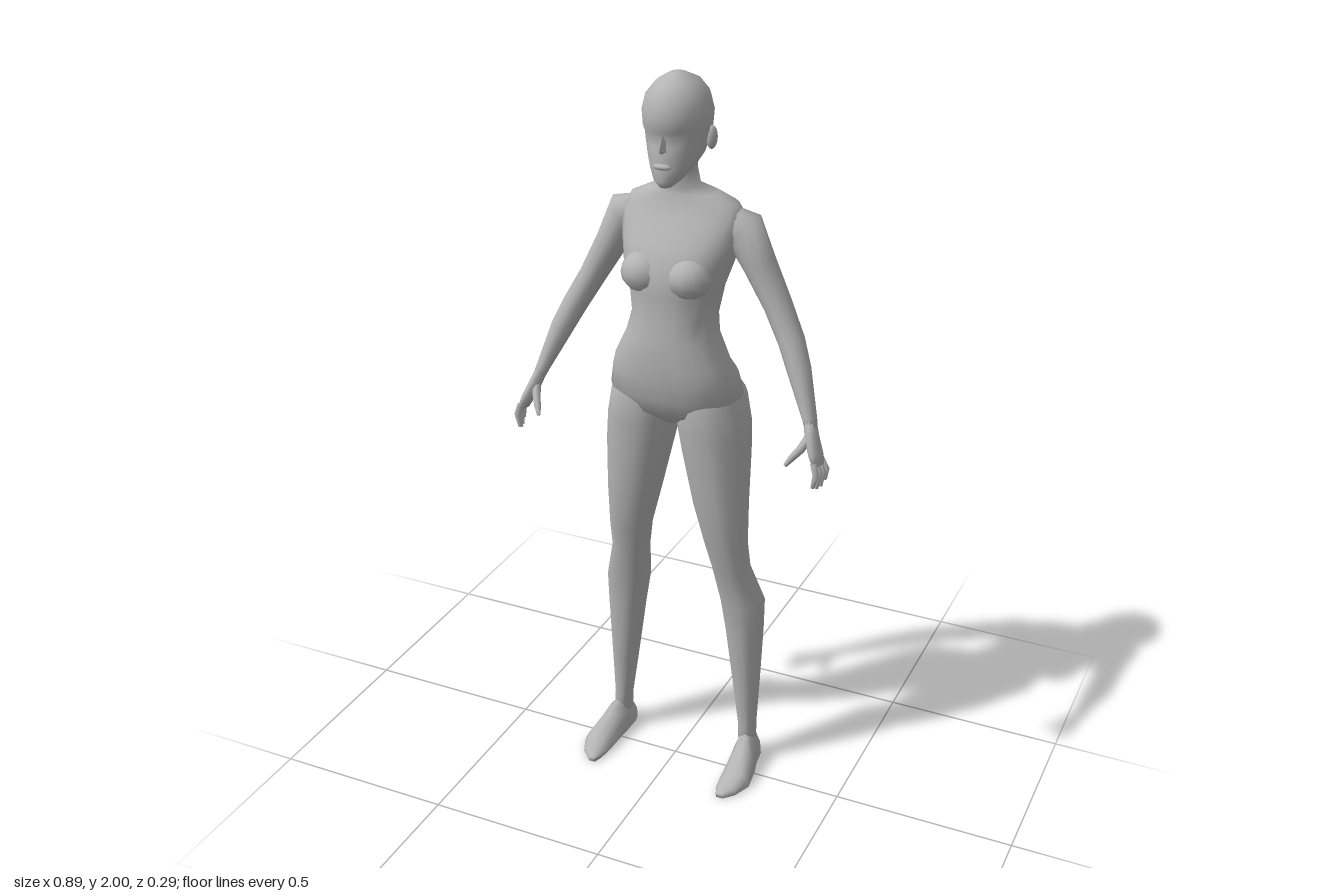
import * as THREE from 'three';
import { ConvexGeometry } from 'three/addons/geometries/ConvexGeometry.js';

const V = (x, y, z) => new THREE.Vector3(x, y, z);
const signedPow = (v, p) => Math.sign(v) * Math.abs(v) ** p;

// Smooth skin over rings of equal length, closed at both ends and wound outward
function loft(rings) {
  const n = rings[0].length;
  const pts = rings.flat();
  const idx = [];
  for (let r = 0; r < rings.length - 1; r++) {
    for (let i = 0; i < n; i++) {
      const a = r * n + i, b = r * n + (i + 1) % n;
      idx.push(a, b, a + n, b, b + n, a + n);
    }
  }
  [0, rings.length - 1].forEach((r, end) => {
    const c = pts.length;
    pts.push(rings[r].reduce((s, p) => s.add(p), V(0, 0, 0)).divideScalar(n));
    for (let i = 0; i < n; i++) {
      const a = r * n + i, b = r * n + (i + 1) % n;
      if (end) idx.push(a, b, c); else idx.push(b, a, c);
    }
  });
  let volume = 0;
  for (let i = 0; i < idx.length; i += 3) {
    volume += pts[idx[i]].dot(V(0, 0, 0).crossVectors(pts[idx[i + 1]], pts[idx[i + 2]]));
  }
  if (volume < 0) idx.reverse();
  const g = new THREE.BufferGeometry().setFromPoints(pts);
  g.setIndex(idx);
  g.computeVertexNormals();
  return g;
}

// Level ring with separate front and back depths about its widest line
function levelRing(y, x0, x1, zFront, zBack, mid = 0.5, p = 1, n = 16) {
  const zm = zBack + (zFront - zBack) * mid;
  return Array.from({ length: n }, (_, i) => {
    const a = (i / n) * Math.PI * 2;
    const s = signedPow(Math.sin(a), p);
    return V((x0 + x1) / 2 + signedPow(Math.cos(a), p) * (x1 - x0) / 2, y,
      zm + s * (s > 0 ? zFront - zm : zm - zBack));
  });
}

// Limb along points [x, y, z, half width, half depth]
function limb(rows, side, n = 10) {
  const c = rows.map(r => V(r[0], r[1], r[2]));
  return loft(rows.map((r, k) => {
    const t = c[Math.min(k + 1, c.length - 1)].clone().sub(c[Math.max(k - 1, 0)]).normalize();
    const u = V(0, 0, 0).crossVectors(t, V(0, 0, 1)).normalize();
    const w = V(0, 0, 0).crossVectors(u, t);
    return Array.from({ length: n }, (_, i) => {
      const a = (i / n) * Math.PI * 2;
      const p = c[k].clone().addScaledVector(u, Math.cos(a) * r[3]).addScaledVector(w, Math.sin(a) * r[4]);
      p.x *= side;
      return p;
    });
  }));
}

export function createModel() {
  const group = new THREE.Group();
  const skin = new THREE.MeshStandardMaterial({ color: 0xb4b4b4 });
  skin.name = 'grey skin';
  const add = (name, geometry) => {
    const m = new THREE.Mesh(geometry, skin);
    m.name = name;
    group.add(m);
    return m;
  };
  const ball = (name, pos, size) => {
    const m = add(name, new THREE.SphereGeometry(1, 12, 8));
    m.position.set(...pos);
    m.scale.set(...size);
    return m;
  };

  // Torso and neck: y, half width, front z, back z
  add('torso', loft([
    [1.085, 0.02, 0.04, -0.07], [1.12, 0.13, 0.078, -0.105], [1.17, 0.18, 0.102, -0.125],
    [1.23, 0.168, 0.11, -0.113], [1.27, 0.154, 0.112, -0.082], [1.34, 0.12, 0.112, -0.085],
    [1.39, 0.11, 0.1, -0.1], [1.46, 0.12, 0.1, -0.125], [1.52, 0.14, 0.1, -0.142],
    [1.58, 0.155, 0.067, -0.144], [1.64, 0.165, 0.025, -0.132], [1.675, 0.145, 0.008, -0.117],
    [1.7, 0.095, 0.002, -0.097], [1.715, 0.047, 0, -0.082], [1.76, 0.042, 0.008, -0.07],
    [1.81, 0.042, 0.01, -0.07],
  ].map(([y, w, f, b]) => levelRing(y, -w, w, f, b, 0.5, 0.85, 20))));

  // Head: y, half width, front z, back z
  add('head', loft([
    [1.735, 0.016, 0.075, 0.035], [1.752, 0.036, 0.084, 0.0], [1.78, 0.056, 0.082, -0.055],
    [1.805, 0.068, 0.08, -0.09], [1.835, 0.076, 0.077, -0.103], [1.858, 0.081, 0.07, -0.11],
    [1.873, 0.084, 0.083, -0.113], [1.91, 0.087, 0.085, -0.116], [1.95, 0.077, 0.077, -0.107],
    [1.98, 0.053, 0.05, -0.082], [2.0, 0.02, 0.01, -0.035],
  ].map(([y, w, f, b]) => levelRing(y, -w, w, f, b, 0.5, 1, 16))));
  add('nose', new ConvexGeometry([V(0, 1.87, 0.074), V(-0.015, 1.826, 0.068), V(0.015, 1.826, 0.068),
    V(0, 1.829, 0.096), V(0, 1.816, 0.07)]));
  ball('lips', [0, 1.789, 0.078], [0.024, 0.008, 0.011]);

  for (const s of [1, -1]) {
    const side = s > 0 ? 'left' : 'right';
    ball(side + 'Ear', [s * 0.084, 1.845, -0.03], [0.012, 0.03, 0.016]).rotation.y = s * -0.4;
    ball(side + 'Chest', [s * 0.062, 1.505, 0.055], [0.06, 0.055, 0.057]);

    // Leg: y, inner x, outer x, front z, back z
    add(side + 'Leg', loft([
      [1.22, 0.04, 0.14, 0.06, -0.1], [1.16, 0.006, 0.18, 0.085, -0.136], [1.08, 0.006, 0.196, 0.078, -0.131],
      [1.0, 0.022, 0.2, 0.073, -0.115], [0.85, 0.055, 0.2, 0.06, -0.09], [0.73, 0.085, 0.2, 0.04, -0.076],
      [0.65, 0.1, 0.203, 0.018, -0.087], [0.53, 0.115, 0.235, -0.006, -0.127], [0.44, 0.13, 0.233, -0.012, -0.125],
      [0.25, 0.155, 0.226, -0.026, -0.111], [0.12, 0.172, 0.221, -0.035, -0.098], [0.04, 0.176, 0.222, -0.03, -0.1],
    ].map(([y, a, b, f, k]) => levelRing(y, s * a, s * b, f, k, 0.5, 0.9, 14))));

    // Foot: z, centre x, half width, top y, with a flat sole
    add(side + 'Foot', loft([
      [-0.117, 0.2, 0.02, 0.045], [-0.09, 0.2, 0.032, 0.085], [-0.035, 0.204, 0.036, 0.1],
      [0.0, 0.21, 0.04, 0.078], [0.07, 0.216, 0.044, 0.042], [0.115, 0.21, 0.031, 0.026],
      [0.143, 0.201, 0.011, 0.014],
    ].map(([z, x, w, h]) => Array.from({ length: 12 }, (_, i) => {
      const a = (i / 12) * Math.PI * 2;
      const up = Math.sin(a);
      return V(s * (x + Math.cos(a) * w), up > 0 ? 0.01 + up * (h - 0.01) : up < -0.4 ? 0 : 0.006, z);
    }))));

    // Arm
    add(side + 'Arm', limb([
      [0.09, 1.64, -0.06, 0.035, 0.04], [0.163, 1.612, -0.056, 0.056, 0.049], [0.205, 1.53, -0.056, 0.043, 0.046],
      [0.26, 1.43, -0.05, 0.036, 0.041], [0.307, 1.345, -0.032, 0.034, 0.037], [0.337, 1.28, -0.012, 0.031, 0.033],
      [0.383, 1.165, 0.022, 0.018, 0.022], [0.39, 1.145, 0.03, 0.016, 0.021],
    ], s, 12));

    // Hand
    add(side + 'Palm', limb([
      [0.383, 1.165, 0.022, 0.016, 0.02], [0.397, 1.125, 0.039, 0.016, 0.027],
      [0.414, 1.085, 0.053, 0.015, 0.033], [0.424, 1.06, 0.059, 0.011, 0.031],
    ], s));
    for (let i = 0; i < 4; i++) {
      const z = 0.035 + i * 0.017;
      const drop = [0.012, 0, 0, 0.008][i];
      add(side + 'Finger' + (i + 1), limb([
        [0.42, 1.075, z, 0.009, 0.008], [0.438 - i * 0.003, 1.045, z + 0.003, 0.009, 0.008],
        [0.436 - i * 0.005, 1.003 + drop, z + 0.005, 0.005, 0.005],
      ], s, 6));
    }
    add(side + 'Thumb', limb([
      [0.393, 1.13, 0.04, 0.012, 0.013], [0.378, 1.1, 0.07, 0.011, 0.011],
      [0.363, 1.083, 0.093, 0.009, 0.009], [0.352, 1.067, 0.108, 0.005, 0.005],
    ], s, 6));
  }
  return group;
}
